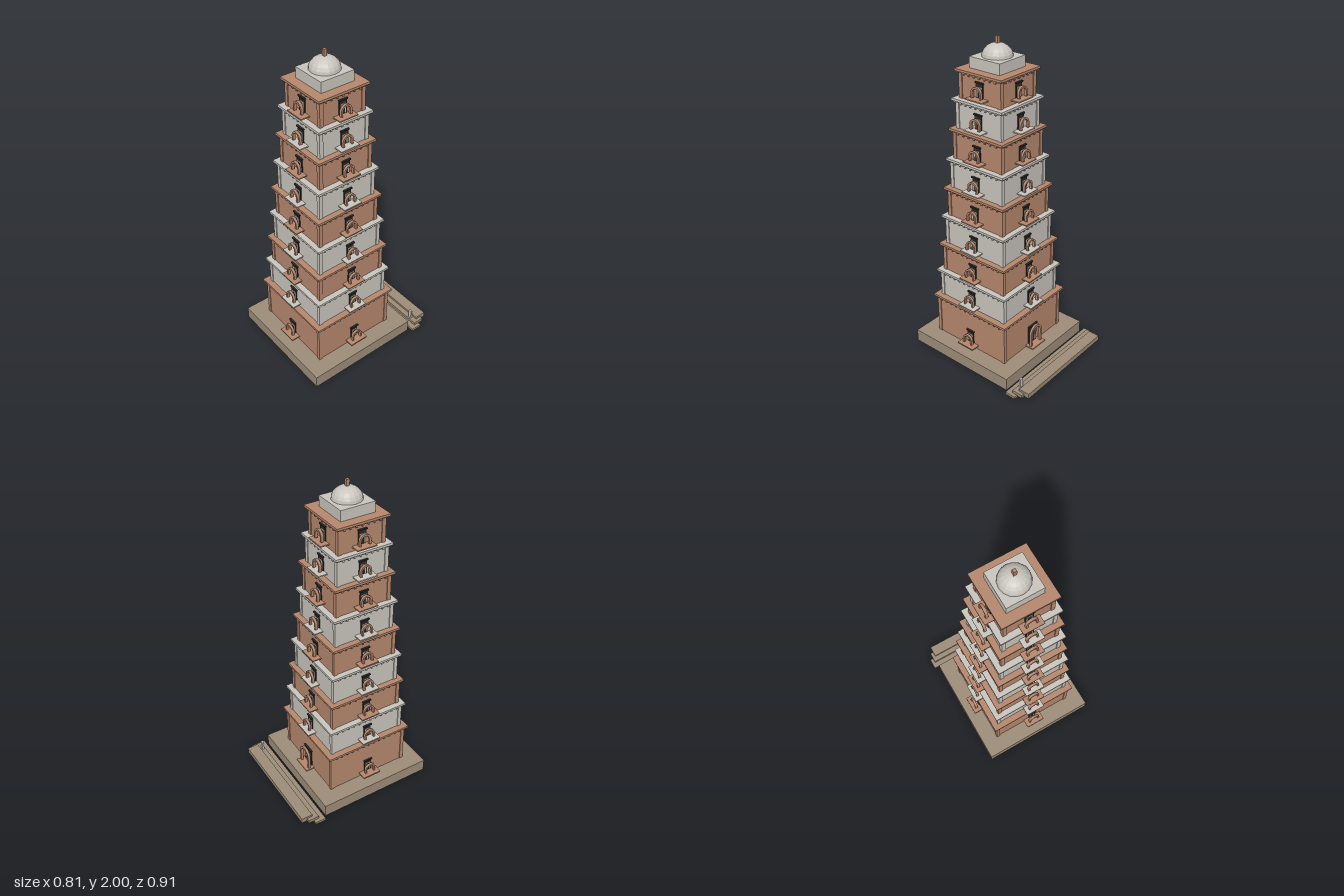
import * as THREE from 'three';

const mat = (name, color, flatShading = false) => {
  const m = new THREE.MeshStandardMaterial({ color, flatShading });
  m.name = name;
  return m;
};

export function createModel() {
  const brick = mat('brick', 0xb5876d);
  const plaster = mat('plaster', 0xc9c5be, true);
  const stone = mat('stone', 0x9d8c78);
  const dark = mat('darkOpening', 0x2c2a28);

  const model = new THREE.Group();
  model.name = 'tieredTower';

  // Box given by centre x, bottom y, centre z
  const box = (parent, name, m, w, h, d, x, y, z) => {
    const mesh = new THREE.Mesh(new THREE.BoxGeometry(w, h, d), m);
    mesh.position.set(x, y + h / 2, z);
    mesh.name = name;
    parent.add(mesh);
    return mesh;
  };

  // Round-topped arch standing on y = 0
  const archGeometry = (outer, thick, leg, depth) => {
    const inner = outer - thick;
    const s = new THREE.Shape();
    s.moveTo(outer, 0);
    s.lineTo(outer, leg);
    s.absarc(0, leg, outer, 0, Math.PI, false);
    s.lineTo(-outer, 0);
    s.lineTo(-inner, 0);
    s.lineTo(-inner, leg);
    s.absarc(0, leg, inner, Math.PI, 0, true);
    s.lineTo(inner, 0);
    return new THREE.ExtrudeGeometry(s, { depth, bevelEnabled: false, curveSegments: 10 });
  };
  const windowArch = archGeometry(0.036, 0.011, 0.029, 0.016);
  const entranceArch = archGeometry(0.052, 0.014, 0.086, 0.016);

  // Terrace and the rear steps
  const centreZ = 0.078;
  box(model, 'terrace', stone, 0.752, 0.081, 0.752, 0, 0, centreZ);
  box(model, 'lowerStep', stone, 0.81, 0.016, 0.07, 0, 0, -0.35);
  box(model, 'middleStep', stone, 0.766, 0.022, 0.07, 0, 0.012, -0.386);
  box(model, 'upperStep', stone, 0.724, 0.033, 0.072, 0, 0.015, -0.421);
  box(model, 'stepPost', plaster, 0.022, 0.06, 0.012, 0.323, 0.033, -0.367);

  const tower = new THREE.Group();
  tower.name = 'tower';
  tower.position.z = centreZ;
  model.add(tower);

  // Tier levels and cornice half-widths, bottom to top
  const levels = [0.081, 0.358, 0.543, 0.729, 0.92, 1.106, 1.292, 1.477, 1.656, 1.826];
  const cornices = [0.291, 0.272, 0.257, 0.242, 0.228, 0.213, 0.198, 0.183, 0.168];

  cornices.forEach((c, i) => {
    const y0 = levels[i], y1 = levels[i + 1];
    const m = i % 2 ? plaster : brick;
    const wall = c - 0.021, pier = c - 0.016;
    const tier = new THREE.Group();
    tier.name = `tier${i + 1}`;
    tower.add(tier);

    box(tier, 'walls', m, wall * 2, y1 - y0, wall * 2, 0, y0, 0);
    box(tier, 'cornice', m, c * 2, 0.014, c * 2, 0, y1 - 0.014, 0);
    box(tier, 'corniceMoulding', m, (c - 0.007) * 2, 0.008, (c - 0.007) * 2, 0, y1 - 0.022, 0);
    for (const sx of [-1, 1]) for (const sz of [-1, 1])
      box(tier, 'cornerPier', m, 0.024, y1 - y0 - 0.02, 0.024,
        sx * (pier - 0.012), y0, sz * (pier - 0.012));

    // Four faces, each built facing +z and turned into place
    for (let k = 0; k < 4; k++) {
      const face = new THREE.Group();
      face.name = 'face';
      face.rotation.y = k * Math.PI / 2;
      tier.add(face);

      const count = Math.round(wall * 2 / 0.042);
      for (let n = 0; n < count; n++) {
        const x = (n + 0.5 - count / 2) * (wall * 2 - 0.03) / count;
        box(face, 'dentil', m, 0.01, 0.011, 0.012, x, y1 - 0.033, wall + 0.005);
      }

      const entrance = i === 0 && k === 2;
      const floor = entrance ? y0 + 0.004 : y0 + 0.024;
      const doorW = entrance ? 0.076 : 0.05;
      const doorH = entrance ? 0.125 : 0.086;
      const front = c + 0.036, back = wall - 0.005;
      box(face, 'balcony', m, 0.124, 0.007, front - back, 0, floor, (front + back) / 2);
      box(face, 'doorway', dark, doorW, doorH, 0.006, 0, floor + 0.007, wall + 0.002);
      box(face, 'lintel', dark, doorW + 0.008, 0.008, 0.014, 0, floor + doorH + 0.003, wall + 0.004);
      // Pale inner frame of the doorway
      for (const s of [-1, 1])
        box(face, 'doorJamb', plaster, 0.006, doorH * 0.6, 0.004, s * doorW * 0.29, floor + 0.012, wall + 0.006);
      box(face, 'doorHead', plaster, doorW * 0.58 + 0.006, 0.006, 0.004, 0, floor + 0.012 + doorH * 0.6, wall + 0.006);

      const arch = new THREE.Mesh(entrance ? entranceArch : windowArch, brick);
      arch.name = 'arch';
      arch.position.set(0, floor + (entrance ? 0.007 : 0.012), c);
      face.add(arch);
    }
  });

  // Roof drum, dome and finial
  box(tower, 'roofDrum', plaster, 0.218, 0.064, 0.218, 0, 1.826, 0);
  const dome = new THREE.Mesh(
    new THREE.SphereGeometry(0.088, 16, 6, 0, Math.PI * 2, 0, Math.PI / 2), plaster);
  dome.name = 'dome';
  dome.scale.y = 0.84;
  dome.position.y = 1.889;
  tower.add(dome);
  box(tower, 'finial', brick, 0.019, 0.045, 0.019, 0, 1.955, 0);

  return model;
}
